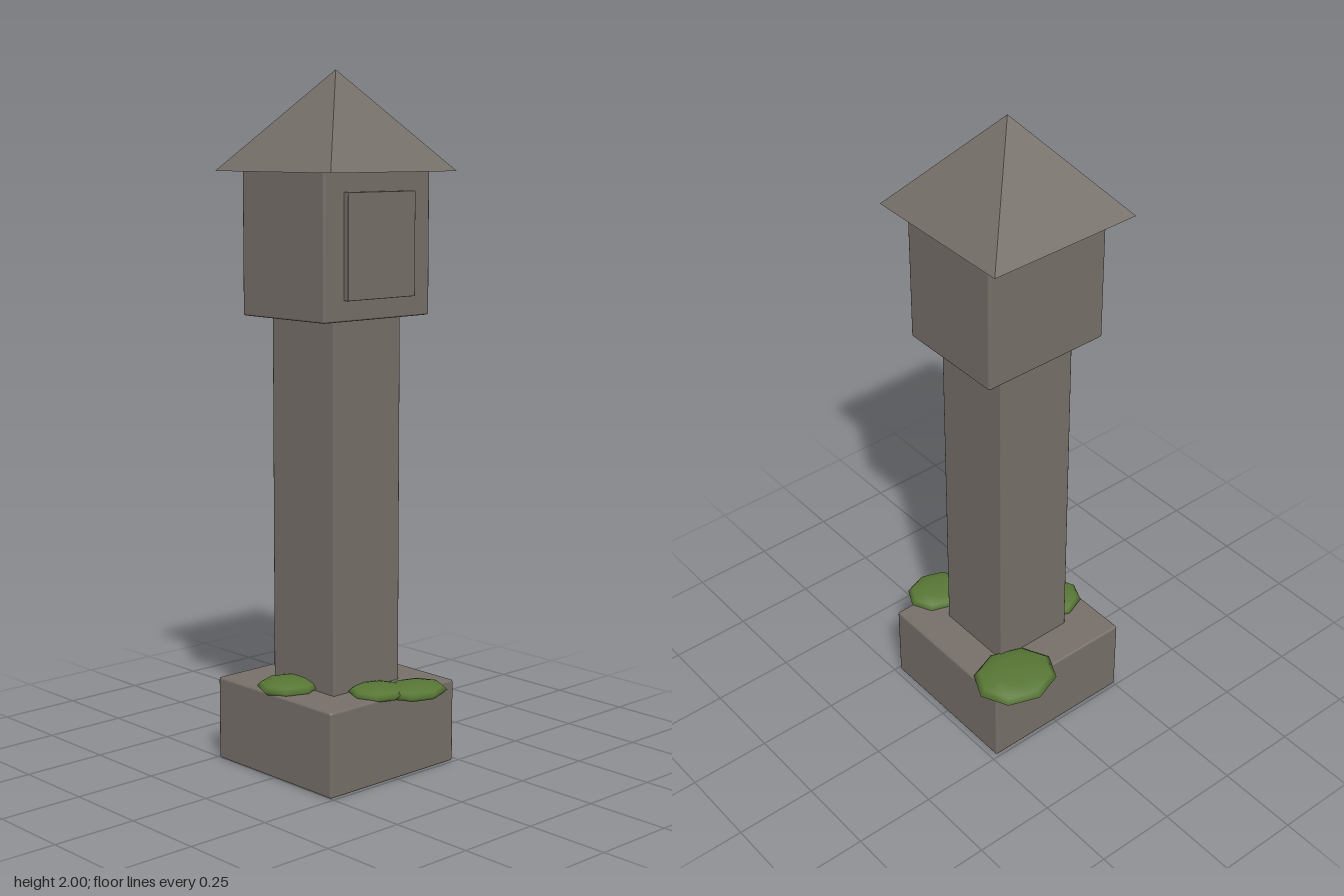
import * as THREE from 'three';
import { RoundedBoxGeometry } from 'three/addons/geometries/RoundedBoxGeometry.js';

export function createModel() {
  const group = new THREE.Group();
  group.name = 'stoneLantern';

  const stone = new THREE.MeshStandardMaterial({ color: 0x766f69 });
  stone.name = 'stone';
  const moss = new THREE.MeshStandardMaterial({ color: 0x587735 });
  moss.name = 'moss';

  // The stonework shares one axis, slightly off centre
  const axisX = -0.01;

  function add(name, geometry, material, x, y, z) {
    const mesh = new THREE.Mesh(geometry, material);
    mesh.name = name;
    mesh.position.set(x, y, z);
    group.add(mesh);
    return mesh;
  }

  // Block with softly chamfered edges, placed by its bottom and top
  function block(name, width, bottom, top, depth, z, bevel) {
    const geometry = new RoundedBoxGeometry(width, top - bottom, depth, 1, bevel);
    return add(name, geometry, stone, axisX, (bottom + top) / 2, z);
  }

  block('base', 0.486, 0.004, 0.25, 0.486, 0, 0.007);
  block('shaft', 0.257, 0.24, 1.33, 0.257, 0.002, 0.004);
  block('head', 0.404, 1.315, 1.725, 0.34, 0.002, 0.006);
  block('frontPanel', 0.257, 1.373, 1.667, 0.04, 0.169, 0.002);

  // Four-sided pyramid roof, turned so its sides face the axes
  const roofGeometry = new THREE.ConeGeometry(0.24 * Math.SQRT2, 0.28, 4);
  roofGeometry.rotateY(Math.PI / 4);
  const roofFlat = roofGeometry.toNonIndexed();
  roofFlat.computeVertexNormals();
  add('roof', roofFlat, stone, axisX, 1.86, 0);

  // Flattened moss clumps: x, y, z, then radii
  const clumps = [
    ['backMoss', 0.135, 0.256, -0.213, 0.133, 0.029, 0.115],
    ['frontMoss', 0.077, 0.25, 0.24, 0.1, 0.023, 0.085],
    ['frontSmallMoss', -0.02, 0.254, 0.188, 0.088, 0.021, 0.082],
    ['sideMoss', -0.174, 0.257, -0.02, 0.096, 0.024, 0.089],
  ];
  for (const [name, x, y, z, rx, ry, rz] of clumps) {
    const geometry = new THREE.SphereGeometry(1, 8, 6).scale(rx, ry, rz);
    add(name, geometry, moss, x, y, z);
  }

  return group;
}
